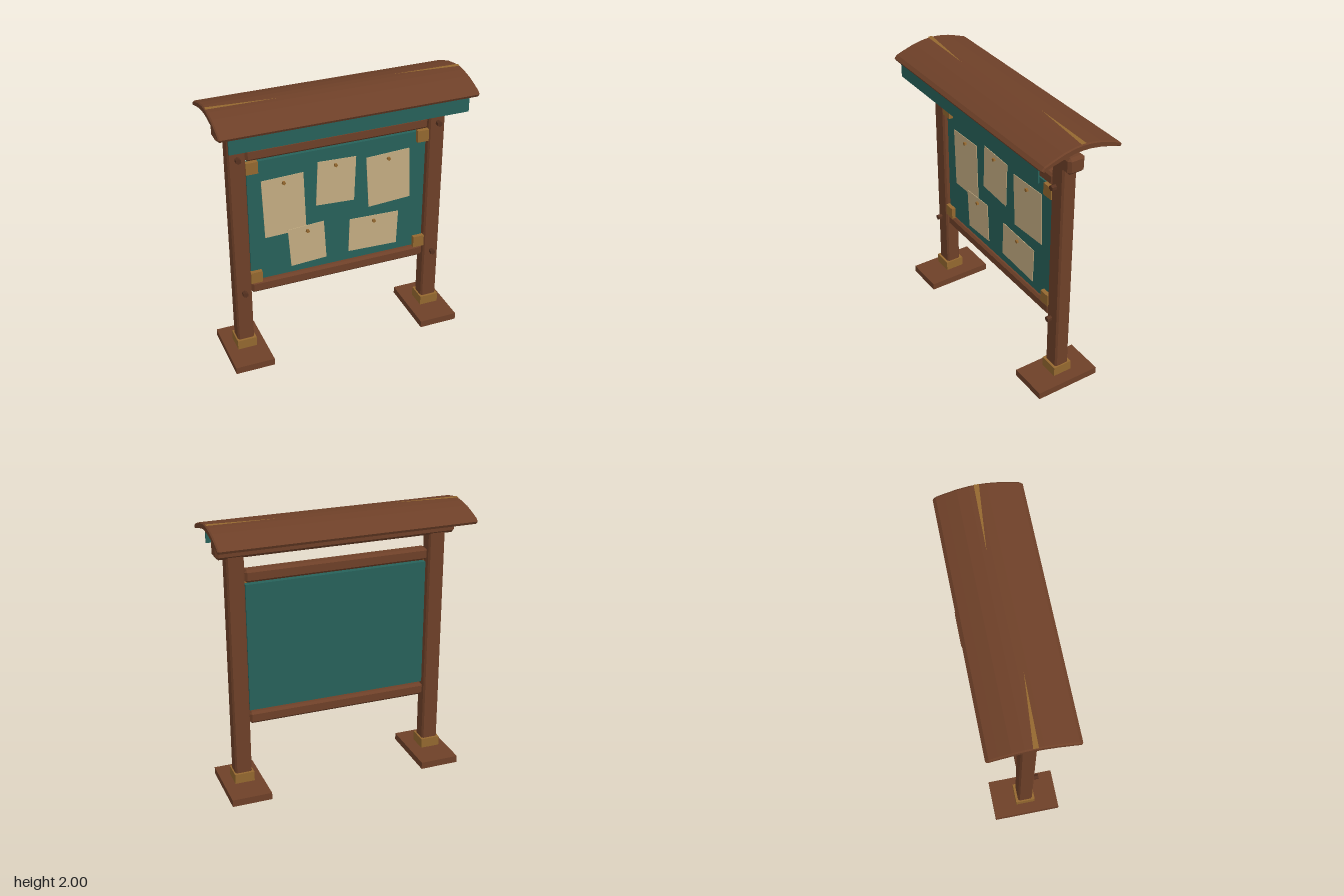
import * as THREE from 'three';
import { ConvexGeometry } from 'three/addons/geometries/ConvexGeometry.js';

const mat = (color, side = THREE.FrontSide) => {
  const m = new THREE.MeshStandardMaterial({ color, flatShading: true });
  m.side = side;
  return m;
};

// Box with all edges cut off by c, given as centre and size
function chamferBox(w, h, d, c) {
  const pts = [];
  for (const x of [-1, 1]) for (const y of [-1, 1]) for (const z of [-1, 1])
    for (let k = 0; k < 3; k++)
      pts.push(new THREE.Vector3(
        x * (w / 2 - (k === 0 ? 0 : c)),
        y * (h / 2 - (k === 1 ? 0 : c)),
        z * (d / 2 - (k === 2 ? 0 : c))));
  return new ConvexGeometry(pts);
}

export function createModel() {
  const group = new THREE.Group();
  const wood = mat(0x6e4028), teal = mat(0x27615a), paper = mat(0xc4ad82);
  const brass = mat(0x94682f), darkWood = mat(0x573220);

  const add = (name, geo, material, x = 0, y = 0, z = 0) => {
    const mesh = new THREE.Mesh(geo, material);
    mesh.name = name;
    mesh.position.set(x, y, z);
    group.add(mesh);
    return mesh;
  };
  const bolt = (name, material, r, len, x, y, z, sides = 6) =>
    add(name, new THREE.CylinderGeometry(r, r, len, sides).rotateX(Math.PI / 2), material, x, y, z);

  // Posts with feet, collars, bolts and corner brackets
  for (const s of [-1, 1]) {
    const side = s > 0 ? 'left' : 'right';
    add(side + 'Foot', new THREE.BoxGeometry(0.29, 0.052, 0.49), wood, s * 0.73, 0.03, 0);
    add(side + 'Collar', new THREE.BoxGeometry(0.143, 0.072, 0.143), brass, s * 0.732, 0.114, 0);
    add(side + 'Post', chamferBox(0.122, 1.76, 0.108, 0.012), wood, s * 0.733, 0.95, 0);
    for (const y of [0.56, 1.625]) bolt(side + 'PostBolt', darkWood, 0.02, 0.035, s * 0.732, y, 0.083);
    bolt(side + 'BeamBolt', darkWood, 0.02, 0.035, s * 0.732, 1.825, 0.093);
    for (const y of [0.655, 1.53])
      add(side + 'Bracket', new THREE.BoxGeometry(0.085, 0.088, 0.034), brass, s * 0.63, y, 0.036);
  }

  // Top beam, rails and board
  add('topBeam', chamferBox(1.73, 0.12, 0.128, 0.02), wood, 0, 1.825, 0);
  add('upperRail', chamferBox(1.335, 0.088, 0.085, 0.016), wood, 0, 1.622, 0);
  add('lowerRail', chamferBox(1.335, 0.088, 0.085, 0.016), wood, 0, 0.564, 0);
  add('board', new THREE.BoxGeometry(1.325, 0.94, 0.045), teal, 0, 1.09, 0);

  // Notices: four corners and a pin position each
  const notices = [
    [[-0.565, 1.405], [-0.26, 1.415], [-0.245, 0.96], [-0.55, 0.952], [-0.405, 1.365]],
    [[-0.155, 1.47], [0.13, 1.46], [0.117, 1.115], [-0.17, 1.13], [-0.025, 1.425]],
    [[0.207, 1.43], [0.535, 1.445], [0.553, 1.05], [0.23, 1.03], [0.375, 1.395]],
    [[-0.385, 0.98], [-0.115, 0.995], [-0.097, 0.69], [-0.365, 0.675], [-0.24, 0.945]],
    [[0.085, 0.957], [0.465, 0.945], [0.455, 0.677], [0.077, 0.69], [0.27, 0.91]],
  ];
  notices.forEach((n, i) => {
    const shape = new THREE.Shape(n.slice(0, 4).map(([x, y]) => new THREE.Vector2(x, y)));
    const z = 0.025 + (i === 3 ? 0.005 : 0);
    add('notice', new THREE.ExtrudeGeometry(shape, { depth: 0.004, bevelEnabled: false }), paper, 0, 0, z);
    bolt('pin', brass, 0.014, 0.016, n[4][0], n[4][1], z + 0.011, 5);
  });

  // Curved roof: half profile mirrored over the ridge, swept along x
  const top = [[0, 1.997], [0.06, 1.993], [0.14, 1.978], [0.22, 1.952], [0.28, 1.93], [0.302, 1.908]];
  const under = [[0.292, 1.89], [0.22, 1.913], [0.14, 1.934], [0.06, 1.948], [0, 1.951]];
  const half = [...top, ...under];
  const mirrored = half.slice(1, -1).reverse().map(([z, y]) => [-z, y]);
  const profile = new THREE.Shape([...half, ...mirrored].map(([z, y]) => new THREE.Vector2(z, y)));
  const roof = new THREE.ExtrudeGeometry(profile, {
    depth: 1.804, bevelThickness: 0.01, bevelSize: 0.006, bevelOffset: -0.006, bevelSegments: 1,
  }).translate(0, 0, -0.902).rotateY(-Math.PI / 2);
  add('roof', roof, wood);

  // Tapering inlays at both ends of the ridge
  const inlay = mat(0x94682f, THREE.DoubleSide);
  for (const s of [-1, 1]) {
    const corners = [[0.908, 0.01], [0.908, -0.025], [0.42, -0.033]];
    const geo = new THREE.BufferGeometry();
    geo.setAttribute('position', new THREE.Float32BufferAttribute(
      corners.flatMap(([x, z]) => [s * x, 2, s * z]), 3));
    if (s < 0) geo.rotateY(0);
    geo.computeVertexNormals();
    add('ridgeInlay', geo, inlay);
  }

  // Header board hanging under the front eave
  add('headerBoard', new THREE.BoxGeometry(1.69, 0.12, 0.012), teal, 0, 1.845, 0.276);

  return group;
}
